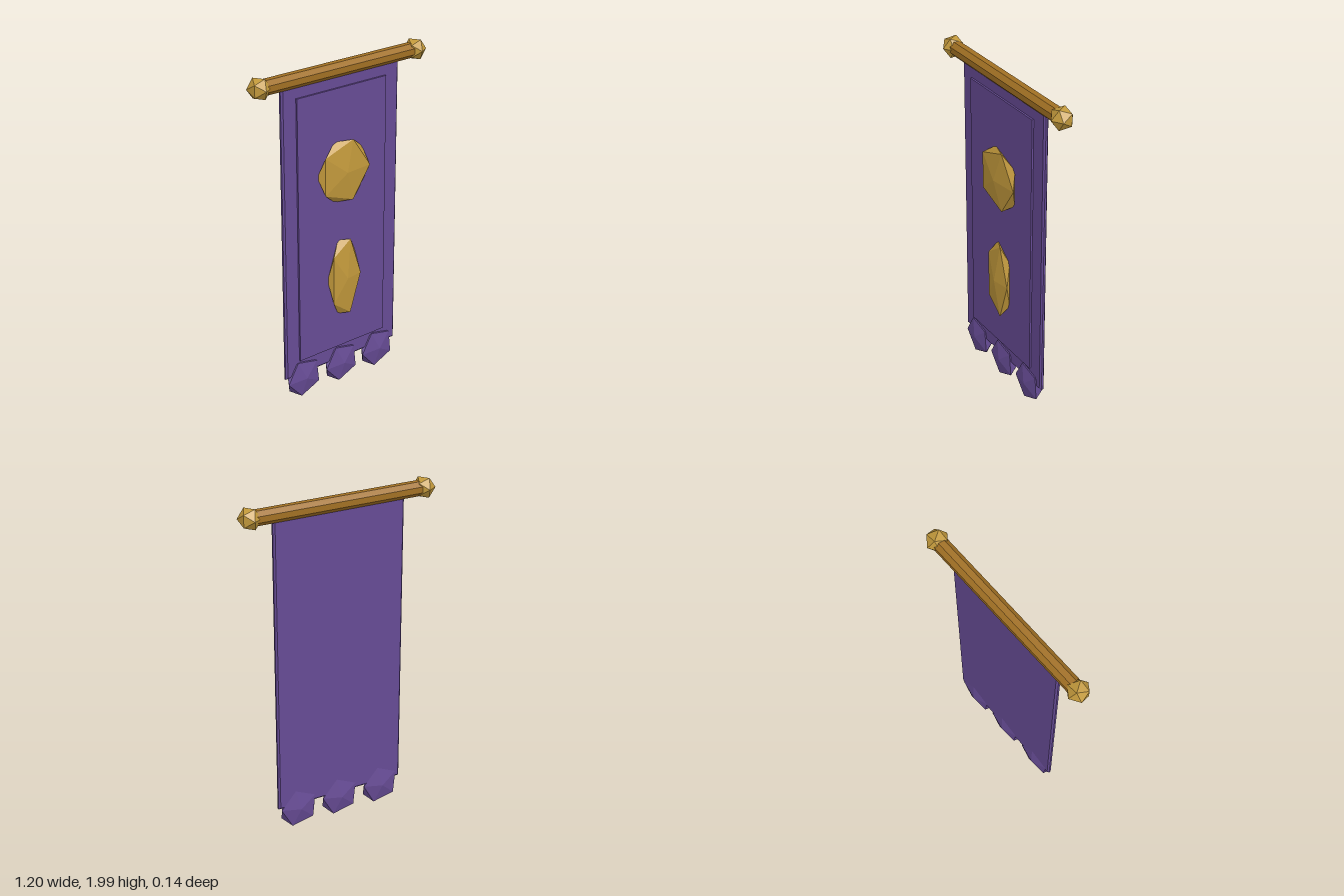
import * as THREE from 'three';

const flat = (name, color) => {
  const m = new THREE.MeshStandardMaterial({ color, flatShading: true });
  m.name = name;
  return m;
};

// Twenty-sided gem with one point facing +z, sized per axis and turned about z
function gemGeometry(rx, ry, rz, turn = 0) {
  const g = new THREE.IcosahedronGeometry(1, 0);
  const t = (1 + Math.sqrt(5)) / 2;
  // bring a corner to +z, then spin so a front-ring corner lies at angle 0
  const pole = new THREE.Vector3(0, 1, t).normalize();
  const q = new THREE.Quaternion().setFromUnitVectors(pole, new THREE.Vector3(0, 0, 1));
  const ring = new THREE.Vector3(0, -1, t).applyQuaternion(q);
  g.applyQuaternion(q);
  g.rotateZ(turn - Math.atan2(ring.y, ring.x));
  g.scale(rx, ry, rz);
  return g;
}

export function createModel() {
  const group = new THREE.Group();
  const purple = flat('purple cloth', 0x664b94);
  const gold = flat('gold', 0xc1983b);
  const wood = flat('brown wood', 0xa17023);

  const add = (name, geometry, material, x, y, z) => {
    const mesh = new THREE.Mesh(geometry, material);
    mesh.name = name;
    mesh.position.set(x, y, z);
    group.add(mesh);
    return mesh;
  };

  // Eight-sided pole with flats facing up and forward
  const pole = new THREE.CylinderGeometry(0.045, 0.045, 1.04, 8);
  pole.rotateY(Math.PI / 8);
  pole.rotateZ(Math.PI / 2);
  add('pole', pole, wood, 0, 1.94, -0.005);

  // Knobs on the pole ends
  for (const side of [-1, 1]) {
    add(side > 0 ? 'leftKnob' : 'rightKnob', gemGeometry(0.067, 0.067, 0.067), gold, side * 0.542, 1.94, -0.004);
  }

  // Hanging cloth with chamfered rim
  const bevel = 0.01;
  const w = 0.41 - bevel, bottom = 0.145 + bevel, top = 1.93 - bevel;
  const outline = new THREE.Shape([
    new THREE.Vector2(-w, bottom), new THREE.Vector2(w, bottom),
    new THREE.Vector2(w, top), new THREE.Vector2(-w, top),
  ]);
  const cloth = new THREE.ExtrudeGeometry(outline, {
    depth: 0.012, bevelEnabled: true, bevelSize: bevel, bevelThickness: 0.009, bevelSegments: 1,
  });
  add('cloth', cloth, purple, 0, 0, -0.009);

  // Raised front panel
  add('frontPanel', new THREE.BoxGeometry(0.625, 1.595, 0.02), purple, -0.003, 1.0425, 0.013);

  // Gold emblems
  add('roundEmblem', gemGeometry(0.197, 0.212, 0.036), gold, -0.003, 1.352, 0.034);
  add('ovalEmblem', gemGeometry(0.123, 0.277, 0.036), gold, 0, 0.695, 0.034);

  // Faceted tassels along the lower edge
  for (const x of [-0.28, 0, 0.275]) {
    add('tassel', gemGeometry(0.133, 0.133, 0.04, -Math.PI / 6), purple, x, 0.122, 0);
  }
  return group;
}
